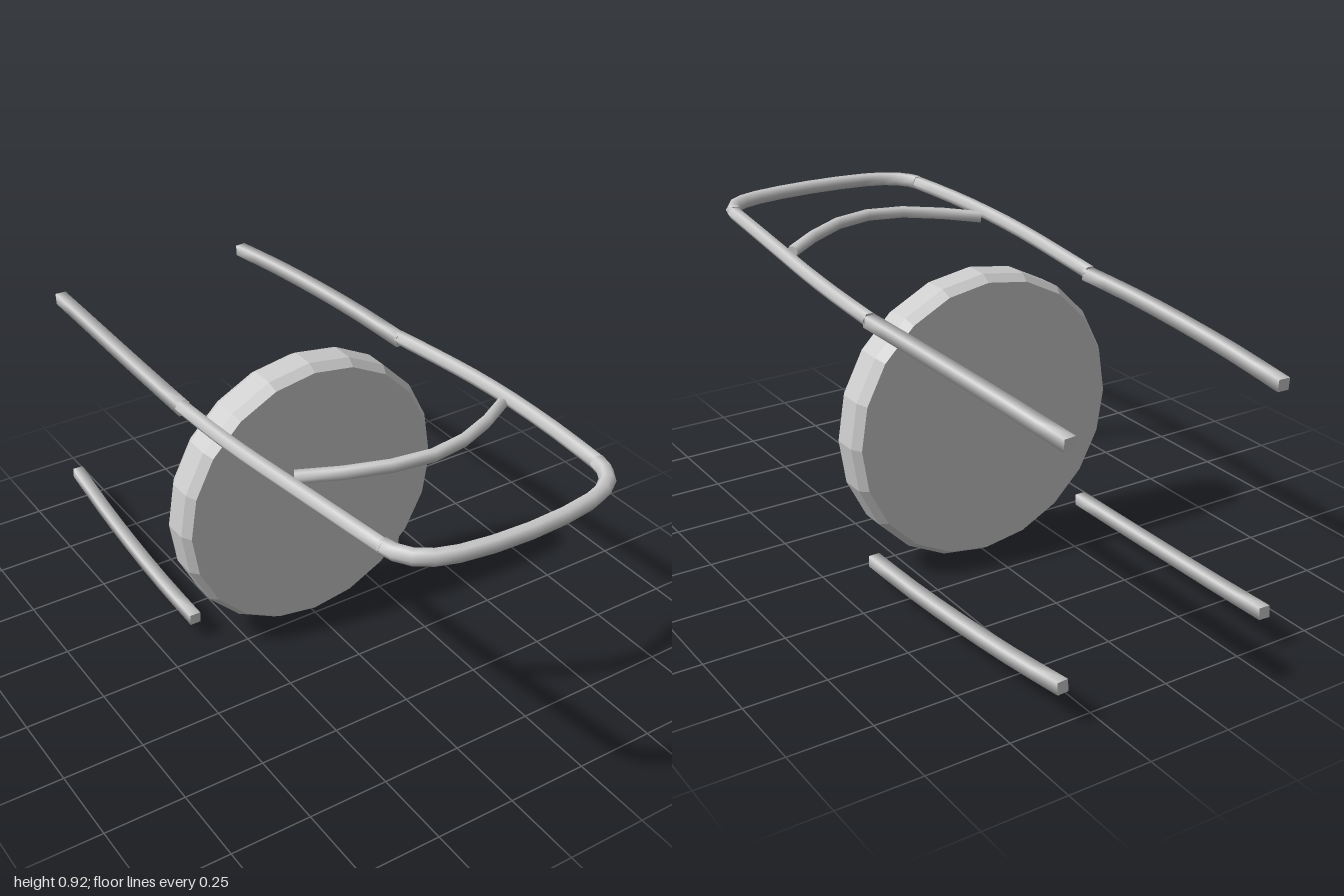
import * as THREE from 'three';

// Sweeps a regular polygon along a list of points, with smooth sides and flat end caps.
function sweep(points, radius, sides, startAngle = 0) {
  const positions = [], index = [];
  const up = new THREE.Vector3(0, 1, 0);
  const last = points.length - 1;
  const rings = points.map((p, i) => {
    const t = points[Math.min(i + 1, last)].clone().sub(points[Math.max(i - 1, 0)]).normalize();
    const side = up.clone().cross(t).normalize();
    const rise = t.clone().cross(side);
    return Array.from({ length: sides }, (_, j) => {
      const a = startAngle + (j / sides) * Math.PI * 2;
      return p.clone().addScaledVector(side, Math.cos(a) * radius).addScaledVector(rise, Math.sin(a) * radius);
    });
  });
  rings.forEach(ring => ring.forEach(v => positions.push(v.x, v.y, v.z)));
  for (let i = 0; i < last; i++) {
    for (let j = 0; j < sides; j++) {
      const a = i * sides + j, b = i * sides + (j + 1) % sides;
      index.push(a, b, a + sides, b, b + sides, a + sides);
    }
  }
  // End caps use their own vertices so their edges stay sharp
  [rings[0].slice().reverse(), rings[last]].forEach(ring => {
    const base = positions.length / 3;
    ring.forEach(v => positions.push(v.x, v.y, v.z));
    for (let j = 1; j < sides - 1; j++) index.push(base, base + j, base + j + 1);
  });
  const geometry = new THREE.BufferGeometry();
  geometry.setAttribute('position', new THREE.Float32BufferAttribute(positions, 3));
  geometry.setIndex(index);
  geometry.computeVertexNormals();
  return geometry;
}

const vectors = list => list.map(p => new THREE.Vector3(...p));
const smooth = (list, n) => new THREE.CatmullRomCurve3(vectors(list)).getPoints(n);
// Completes a half path, listed from its +x end to the middle, on the -x side
const mirrored = half => half.concat(half.slice(0, -1).reverse().map(([x, y, z]) => [-x, y, z]));

export function createModel() {
  const model = new THREE.Group();
  const grey = new THREE.MeshStandardMaterial({ color: 0xcccccc });
  grey.name = 'grey';
  const add = (name, geometry) => {
    const mesh = new THREE.Mesh(geometry, grey);
    mesh.name = name;
    model.add(mesh);
    return mesh;
  };
  const centreY = 0.45;

  // Round seat with bevelled rims, faceted, standing on its edge
  const profile = [[0, -0.135], [0.428, -0.135], [0.447, -0.105], [0.447, -0.03], [0.428, 0], [0, 0]]
    .map(p => new THREE.Vector2(...p));
  const seatGeometry = new THREE.LatheGeometry(profile, 20).rotateX(Math.PI / 2).toNonIndexed();
  seatGeometry.computeVertexNormals();
  add('seat', seatGeometry).position.y = centreY;

  for (const sx of [1, -1]) {
    const label = sx > 0 ? 'left' : 'right';

    // Square legs, curving inward toward the feet
    for (const sy of [1, -1]) {
      const path = [[0.378, 0.378, -0.1], [0.375, 0.375, -0.32], [0.367, 0.367, -0.55], [0.355, 0.355, -0.78], [0.34, 0.338, -1]]
        .map(([x, y, z]) => [sx * x, centreY + sy * y, z]);
      add(label + (sy > 0 ? 'Back' : 'Front') + 'Leg', sweep(smooth(path, 8), 0.025, 4, Math.PI / 4));
    }

    // Side rails of the backrest
    const rail = [[0.38, 0.833, -0.11], [0.385, 0.85, 0.08], [0.385, 0.866, 0.25], [0.377, 0.881, 0.43], [0.362, 0.893, 0.64], [0.343, 0.899, 0.84]]
      .map(([x, y, z]) => [sx * x, y, z]);
    add(label + 'BackRail', sweep(smooth(rail, 10), 0.022, 6));
  }

  // Bowed rail joining the tops of the side rails
  const bow = mirrored([[0.343, 0.9, 0.83], [0.334, 0.9, 0.868], [0.308, 0.9, 0.908], [0.265, 0.9, 0.938],
    [0.205, 0.9, 0.958], [0.11, 0.9, 0.972], [0, 0.9, 0.977]]);
  add('topBackRail', sweep(vectors(bow), 0.023, 6));

  // Curved crossbar within the backrest
  const crossbar = mirrored([[0.342, 0.878, 0.43], [0.235, 0.89, 0.498], [0.118, 0.9, 0.552], [0, 0.903, 0.573]]);
  add('backCrossbar', sweep(vectors(crossbar), 0.019, 6));

  return model;
}
